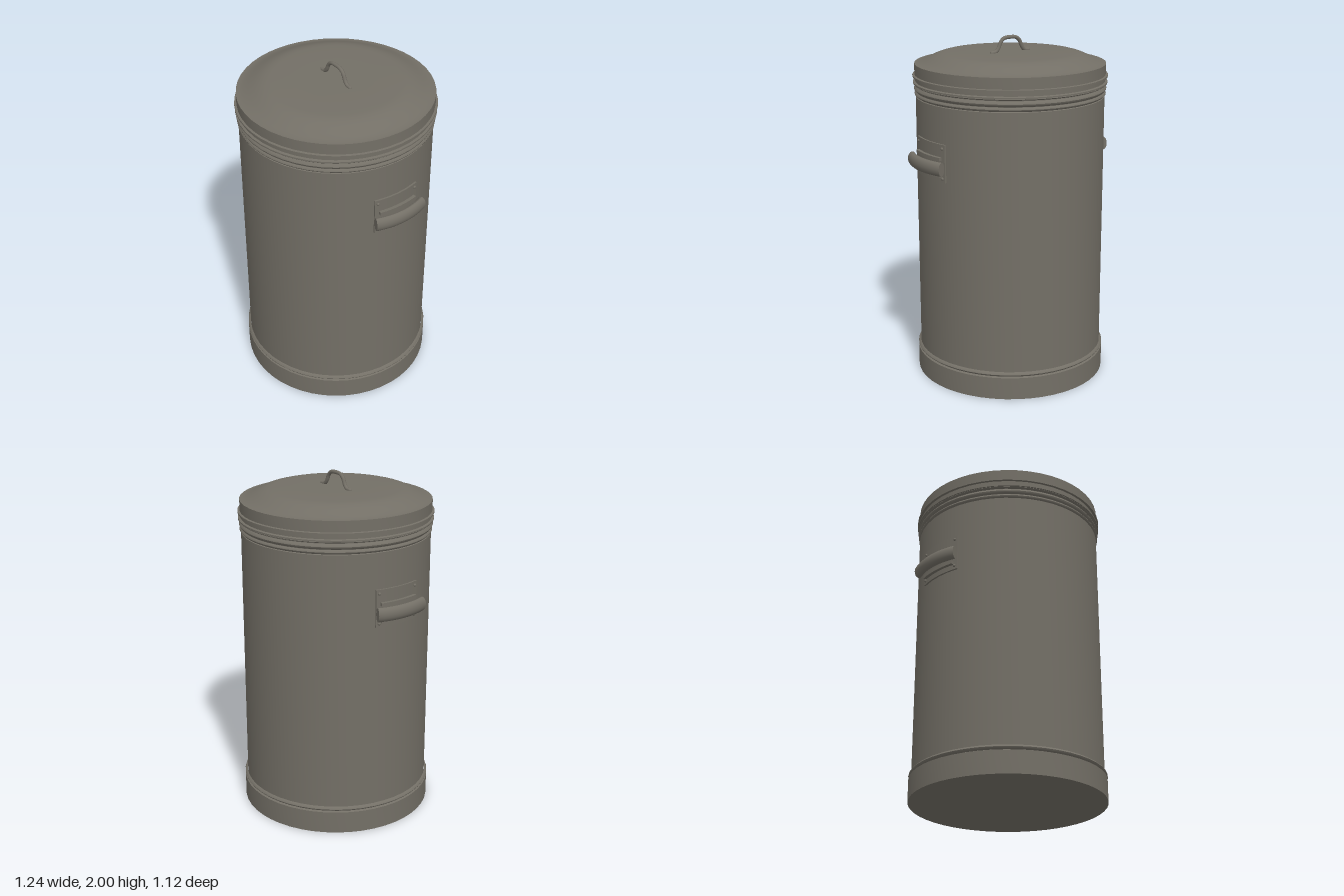
import * as THREE from 'three';
import { toCreasedNormals } from 'three/addons/utils/BufferGeometryUtils.js';

const steel = new THREE.MeshStandardMaterial({ color: 0x736f66 });
steel.name = 'galvanised steel';

function mesh(name, geometry, parent) {
  const m = new THREE.Mesh(geometry, steel);
  m.name = name;
  parent.add(m);
  return m;
}

// Turned part; profile runs [radius, y] from bottom to top on the outside
function turned(profile, segments = 48, start = 0, sweep = Math.PI * 2) {
  const pts = profile.map(([r, y]) => new THREE.Vector2(r, y));
  return toCreasedNormals(new THREE.LatheGeometry(pts, segments, start, sweep), 0.6);
}

// Rounded ring profile points, bulging from radius r to r + depth
function bead(r, depth, y0, y1, steps = 6) {
  return Array.from({ length: steps + 1 }, (_, i) => {
    const t = i / steps;
    return [r + depth * Math.sin(Math.PI * t), y0 + (y1 - y0) * t];
  });
}

// Closed curved sheet centred on +x
function curvedSheet(r0, r1, y0, y1, halfWidth) {
  const a = Math.asin(halfWidth / r1);
  const g = new THREE.Group();
  mesh('sheet', turned([[r0, y0], [r1, y0], [r1, y1], [r0, y1], [r0, y0]], 6, Math.PI / 2 - a, 2 * a), g);
  for (const s of [-1, 1]) {
    const edge = mesh('sheetEdge', new THREE.PlaneGeometry(r1 - r0, y1 - y0), g);
    const r = (r0 + r1) / 2;
    edge.position.set(r * Math.cos(a), (y0 + y1) / 2, s * r * Math.sin(a));
    edge.rotation.y = s > 0 ? -a : Math.PI + a;
  }
  return g;
}

function sideHandle() {
  const g = new THREE.Group();
  const plate = curvedSheet(0.535, 0.553, 1.24, 1.455, 0.145);
  plate.name = 'mountingPlate';
  g.add(plate);

  // Folded straps above and below the grip
  for (const y of [1.27, 1.365]) {
    const strap = curvedSheet(0.55, 0.572, y, y + 0.018, 0.125);
    strap.name = 'gripStrap';
    g.add(strap);
  }

  // Rivets at the plate corners
  for (const y of [1.262, 1.432]) {
    for (const z of [-0.127, 0.127]) {
      const rivet = mesh('rivet', new THREE.SphereGeometry(0.009, 10, 6), g);
      rivet.position.set(Math.sqrt(0.553 ** 2 - z * z), y, z);
    }
  }

  // Bowed oval grip
  const grip = new THREE.Group();
  grip.name = 'grip';
  grip.position.set(0.15, 1.325, 0);
  g.add(grip);
  const a = 0.37, R = 0.445, rx = 0.025, ry = 0.04;
  const oval = Array.from({ length: 17 }, (_, i) => {
    const t = (i / 16) * Math.PI * 2;
    return [R + rx * Math.cos(t), ry * Math.sin(t)];
  });
  mesh('gripTube', turned(oval, 12, Math.PI / 2 - a, 2 * a), grip);
  for (const s of [-1, 1]) {
    const cap = mesh('gripEnd', new THREE.CircleGeometry(1, 16), grip);
    cap.scale.set(rx, ry, 1);
    cap.position.set(R * Math.cos(a), 0, s * R * Math.sin(a));
    cap.rotation.y = s > 0 ? -a : Math.PI + a;
  }
  return g;
}

export function createModel() {
  const root = new THREE.Group();
  root.name = 'dustbin';

  // Base band, bead, long wall and ribbed neck
  mesh('base', turned([[0, 0], [0.558, 0], [0.558, 0.13], [0.546, 0.135]]), root);
  mesh('baseBead', turned(bead(0.545, 0.014, 0.135, 0.162)), root);
  mesh('wall', turned([[0.543, 0.13], [0.543, 1.66], [0.535, 1.664], [0.535, 1.79]]), root);
  [[0.54, 0.01, 1.664, 1.688], [0.54, 0.013, 1.69, 1.722], [0.54, 0.013, 1.725, 1.74]]
    .forEach(([r, d, y0, y1]) => mesh('neckRib', turned(bead(r, d, y0, y1)), root));
  mesh('neckRim', turned([[0.53, 1.736], [0.558, 1.736], [0.558, 1.744], [0.545, 1.748], [0.545, 1.776]]), root);

  // Lid with rolled lower rim, straight skirt and domed shoulder
  mesh('lidRim', turned([[0.53, 1.774], [0.56, 1.774], [0.56, 1.783], [0.547, 1.786]]), root);
  mesh('lid', turned([
    [0.548, 1.78], [0.548, 1.848], [0.535, 1.848], [0.51, 1.855], [0.48, 1.868], [0.45, 1.882],
    [0.42, 1.894], [0.39, 1.902], [0.36, 1.905], [0.2, 1.906], [0, 1.906],
  ]), root);

  // Bent rod handle on the lid
  const half = [[0.125, 1.907], [0.098, 1.912], [0.08, 1.932], [0.064, 1.966], [0.04, 1.985]];
  const path = [...half.map(([x, y]) => [-x, y]), [0, 1.989], ...half.slice().reverse()]
    .map(([x, y]) => new THREE.Vector3(x, y, 0));
  const rod = new THREE.TubeGeometry(new THREE.CatmullRomCurve3(path), 40, 0.011, 10);
  mesh('lidHandle', rod, root);
  for (const s of [-1, 1]) {
    const end = mesh('lidHandleEnd', new THREE.SphereGeometry(0.011, 10, 8), root);
    end.position.set(s * 0.125, 1.907, 0);
  }

  // Carrying handles on both sides
  for (const side of ['left', 'right']) {
    const handle = sideHandle();
    handle.name = side + 'Handle';
    if (side === 'right') handle.rotation.y = Math.PI;
    root.add(handle);
  }
  return root;
}
